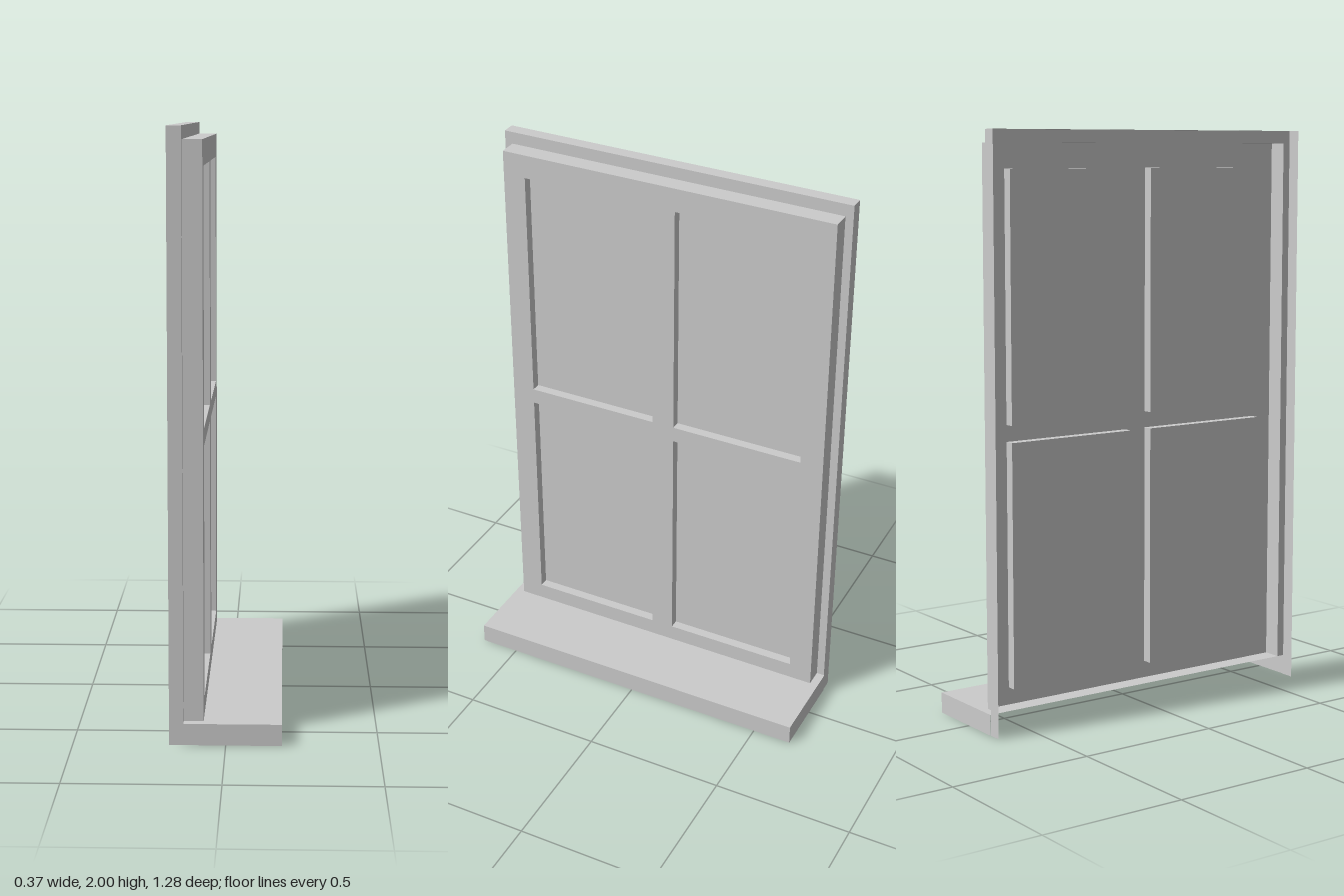
import * as THREE from 'three';

const material = new THREE.MeshStandardMaterial({ color: 0xcccccc, side: THREE.DoubleSide, flatShading: true });

// Depth of each layer along x (the window faces +x)
const BACK = -0.185, STEP = -0.138, FACE = -0.073, PANE = -0.107, SILL = 0.183;
// Outlines as [z0, z1, y0, y1]
const SILL_TOP = 0.072;
const OUTER = [-0.638, 0.638, 0, 2];
const SASH = [-0.61, 0.61, SILL_TOP, 1.957];
const PANES = [];
for (const [z0, z1] of [[-0.526, -0.04], [0.043, 0.528]]) {
  for (const [y0, y1] of [[0.132, 0.973], [1.03, 1.873]]) PANES.push([z0, z1, y0, y1]);
}

function add(group, name, geometry) {
  const mesh = new THREE.Mesh(geometry, material);
  mesh.name = name;
  group.add(mesh);
}

// Thin walls around a rectangle, running from x0 to x1; inward turns their faces
function walls(group, name, x0, x1, [z0, z1, y0, y1], sides, inward = false) {
  const cx = (x0 + x1) / 2, cy = (y0 + y1) / 2, cz = (z0 + z1) / 2;
  const dx = x1 - x0, flip = inward ? Math.PI : 0;
  const flat = (turn) => new THREE.PlaneGeometry(dx, z1 - z0).rotateX(turn + flip);
  const upright = (turn) => new THREE.PlaneGeometry(dx, y1 - y0).rotateY(turn + flip);
  const build = {
    Top: () => flat(-Math.PI / 2).translate(cx, y1, cz),
    Bottom: () => flat(Math.PI / 2).translate(cx, y0, cz),
    Left: () => upright(0).translate(cx, cy, z1),
    Right: () => upright(Math.PI).translate(cx, cy, z0),
  };
  for (const side of sides) add(group, name + side, build[side]());
}

// Flat sheet facing +x from corner points [z, y], with rectangular holes
function sheet(group, name, x, corners, holes = []) {
  const points = (list) => list.map(([z, y]) => new THREE.Vector2(-z, y));
  const shape = new THREE.Shape(points(corners));
  for (const hole of holes) shape.holes.push(new THREE.Path(points(rect(hole))));
  add(group, name, new THREE.ShapeGeometry(shape).rotateY(Math.PI / 2).translate(x, 0, 0));
}

const rect = ([z0, z1, y0, y1]) => [[z0, y0], [z1, y0], [z1, y1], [z0, y1]];

export function createModel() {
  const model = new THREE.Group();
  model.name = 'window';

  // Outer frame: shallow open-backed surround with a narrow front flange
  const frame = new THREE.Group();
  frame.name = 'outerFrame';
  walls(frame, 'frame', BACK, STEP, OUTER, ['Top', 'Left', 'Right']);
  const [z0, z1, , top] = OUTER, [s0, s1, , sTop] = SASH;
  sheet(frame, 'frameFlange', STEP, [
    [z0, SILL_TOP], [z0, top], [z1, top], [z1, SILL_TOP],
    [s1, SILL_TOP], [s1, sTop], [s0, sTop], [s0, SILL_TOP],
  ]);

  // Sash: raised front with four openings
  const sash = new THREE.Group();
  sash.name = 'sash';
  walls(sash, 'sash', STEP, FACE, SASH, ['Top', 'Left', 'Right']);
  sheet(sash, 'sashFront', FACE, rect(SASH), PANES);

  // Recessed panes and the reveals around them
  for (const pane of PANES) {
    walls(sash, 'reveal', PANE, FACE, pane, ['Top', 'Bottom', 'Left', 'Right'], true);
    sheet(sash, 'pane', PANE, rect(pane));
  }

  // Sill: hollow ledge, open underneath and at the back
  const sill = new THREE.Group();
  sill.name = 'sill';
  const ledge = [-0.64, 0.64, 0, SILL_TOP];
  walls(sill, 'sill', STEP, SILL, ledge, ['Top', 'Left', 'Right']);
  sheet(sill, 'sillFront', SILL, rect(ledge));

  model.add(frame, sash, sill);
  return model;
}
